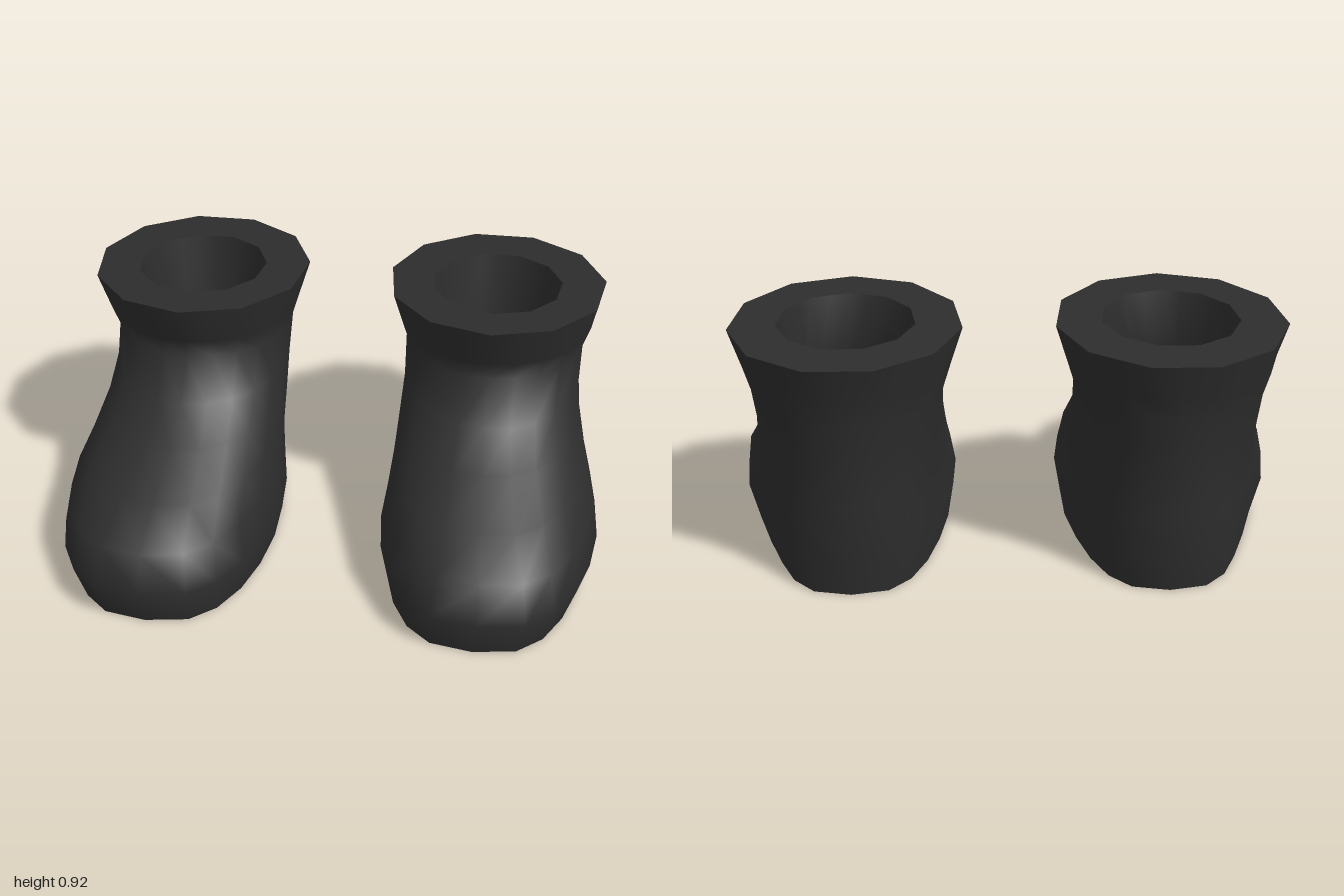
import * as THREE from 'three';

const SIDES = 22;

// Section rows: [y, back z, front z, heel centre x, heel half-width, ball centre x, ball half-width, roundness power]
const OUTER = [
  [0.00, -0.62, 0.71, 0.56, 0.32, 0.585, 0.37, 0.70],
  [0.14, -0.64, 0.745, 0.56, 0.33, 0.595, 0.405, 0.70],
  [0.27, -0.65, 0.685, 0.56, 0.33, 0.595, 0.385, 0.75],
  [0.36, -0.655, 0.52, 0.56, 0.33, 0.58, 0.36, 0.82],
  [0.46, -0.66, 0.31, 0.56, 0.33, 0.565, 0.34, 0.92],
  [0.56, -0.675, 0.14, 0.56, 0.33, 0.56, 0.33, 1],
  [0.69, -0.69, 0.01, 0.56, 0.335, 0.56, 0.335, 1],
  [0.77, -0.71, 0.045, 0.56, 0.36, 0.56, 0.36, 1],
];
const RIM_OUTER = [0.913, -0.76, 0.10, 0.56, 0.405, 0.56, 0.405, 1];
const RIM_INNER = [0.913, -0.575, -0.065, 0.56, 0.242, 0.56, 0.242, 1];
const INNER = [
  [0.70, -0.53, -0.12, 0.56, 0.20, 0.56, 0.20, 1],
  [0.52, -0.51, 0.00, 0.56, 0.19, 0.56, 0.19, 1],
  [0.34, -0.50, 0.30, 0.56, 0.19, 0.57, 0.21, 0.85],
  [0.15, -0.48, 0.52, 0.56, 0.18, 0.585, 0.24, 0.75],
];

function sectionPoint(row, j) {
  const [y, zb, zf, hx, hw, bx, bw, p] = row;
  const a = (j / SIDES) * Math.PI * 2;
  const t = Math.cos(a), s = Math.sin(a);
  const k = THREE.MathUtils.smoothstep(t, -0.7, 0.1);
  const x = THREE.MathUtils.lerp(hx, bx, k)
    + THREE.MathUtils.lerp(hw, bw, k) * Math.sign(s) * Math.pow(Math.abs(s), p);
  return new THREE.Vector3(x, y, (zb + zf) / 2 + ((zf - zb) / 2) * t);
}

// Smooth closed section
const ring = (row) => Array.from({ length: SIDES }, (_, j) => sectionPoint(row, j));

// Eleven-sided section, tilted slightly up toward the front
function rimRing(row) {
  return Array.from({ length: SIDES }, (_, j) => {
    const v = j % 2
      ? sectionPoint(row, j - 1).lerp(sectionPoint(row, j + 1), 0.5)
      : sectionPoint(row, j);
    v.y += 0.02 * (v.z + 0.33);
    return v;
  });
}

// Section collapsed to a point, for flat caps
const point = (x, y, z) => Array.from({ length: SIDES }, () => new THREE.Vector3(x, y, z));

// Skin through successive rings; side is +1 or -1 for left or right
function loft(rings, side) {
  const positions = [], index = [];
  for (const r of rings) for (const v of r) positions.push(v.x * side, v.y, v.z);
  for (let i = 0; i < rings.length - 1; i++) {
    for (let j = 0; j < SIDES; j++) {
      const a = i * SIDES + j, b = i * SIDES + ((j + 1) % SIDES);
      const c = b + SIDES, d = a + SIDES;
      if (side > 0) index.push(a, b, c, a, c, d);
      else index.push(a, c, b, a, d, c);
    }
  }
  const g = new THREE.BufferGeometry();
  g.setAttribute('position', new THREE.Float32BufferAttribute(positions, 3));
  g.setIndex(index);
  g.computeVertexNormals();
  return g;
}

export function createModel() {
  const model = new THREE.Group();
  model.name = 'boots';
  const material = new THREE.MeshStandardMaterial({ color: 0x2d2d2d });
  material.name = 'charcoal';

  const outer = OUTER.map(ring), inner = INNER.map(ring);
  const rimOuter = rimRing(RIM_OUTER), rimInner = rimRing(RIM_INNER);
  const parts = {
    sole: [point(0.57, 0, 0), outer[0]],
    upper: [...outer, rimOuter],
    cuffRim: [rimOuter, rimInner],
    lining: [rimInner, ...inner],
    insole: [inner[inner.length - 1], point(0.57, 0.15, 0)],
  };

  for (const [name, side] of [['leftBoot', 1], ['rightBoot', -1]]) {
    const boot = new THREE.Group();
    boot.name = name;
    for (const [part, rings] of Object.entries(parts)) {
      const mesh = new THREE.Mesh(loft(rings, side), material);
      mesh.name = part;
      boot.add(mesh);
    }
    model.add(boot);
  }
  return model;
}
